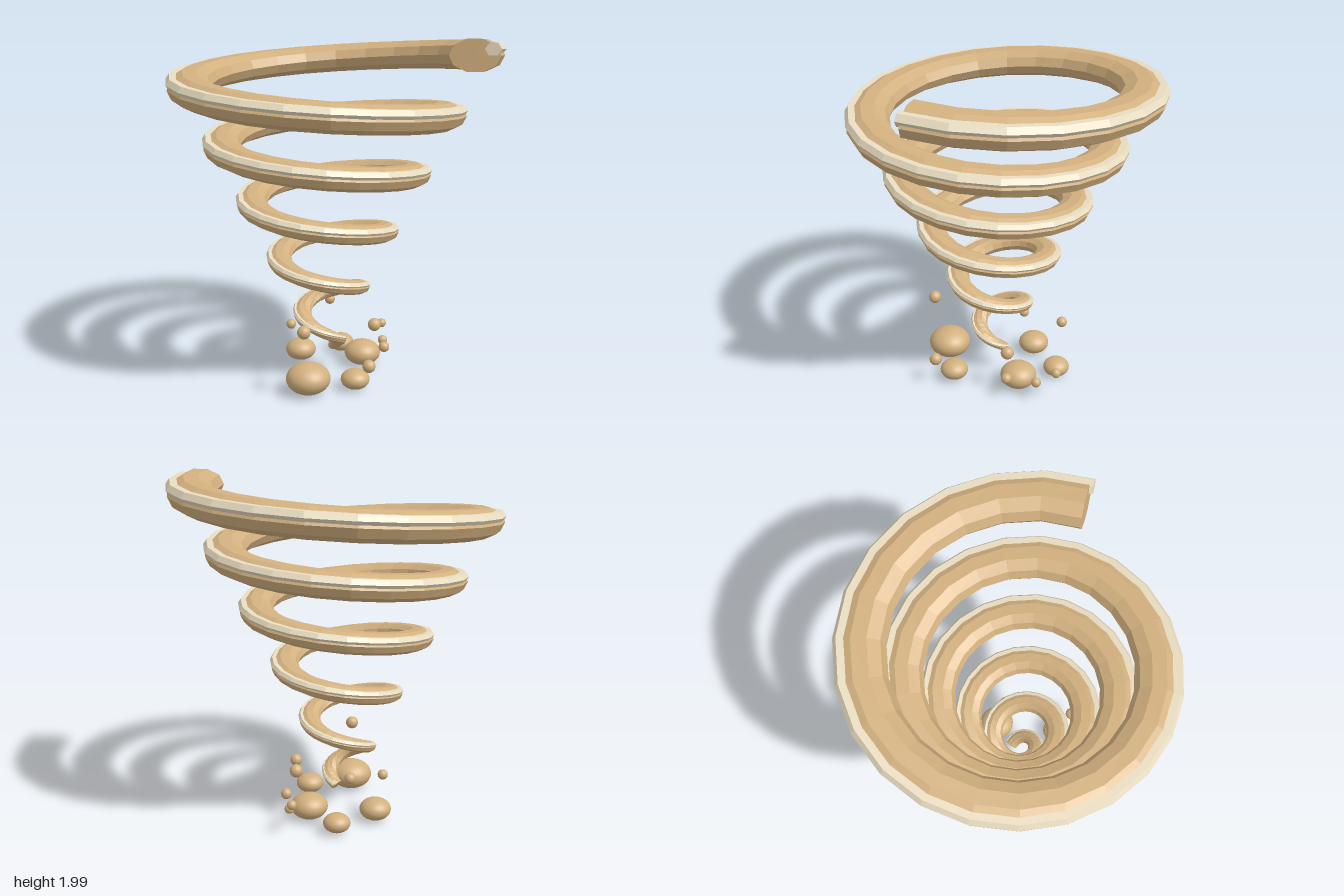
import * as THREE from 'three';

const TURNS = 5.2, STEPS = 120;
const UP = new THREE.Vector3(0, 1, 0);

// Half width and half height of the funnel coil after t turns
const halfWidth = t => 0.042 + 0.0182 * t;
const halfHeight = t => 0.028 + 0.012 * t;

// Point on the widening spiral, shifted outwards and upwards
function spiralPoint(t, out = 0, lift = 0) {
  const r = 0.07 + 0.79 * Math.pow(t / TURNS, 1.2) + out;
  const a = t * Math.PI * 2;
  return new THREE.Vector3(-0.05 + r * Math.cos(a), 0.165 + 0.3356 * t + lift, -0.022 + r * Math.sin(a));
}

// Sweeps a growing elliptical section along the spiral and caps both ends
function taperedCoil(sides, pathAt, sizeAt) {
  const path = [], pos = [], index = [];
  for (let i = 0; i <= STEPS; i++) path.push(pathAt(TURNS * i / STEPS));
  path.forEach((p, i) => {
    const tangent = path[Math.min(i + 1, STEPS)].clone().sub(path[Math.max(i - 1, 0)]).normalize();
    const side = new THREE.Vector3().crossVectors(UP, tangent).normalize();
    const up = new THREE.Vector3().crossVectors(tangent, side);
    const [w, h] = sizeAt(TURNS * i / STEPS);
    for (let j = 0; j < sides; j++) {
      const a = j / sides * Math.PI * 2;
      const v = p.clone().addScaledVector(side, w * Math.cos(a)).addScaledVector(up, h * Math.sin(a));
      pos.push(v.x, v.y, v.z);
    }
  });
  const first = pos.length / 3, last = first + 1, end = STEPS * sides;
  pos.push(...path[0].toArray(), ...path[STEPS].toArray());
  for (let j = 0; j < sides; j++) {
    const k = (j + 1) % sides;
    for (let i = 0; i < STEPS; i++) {
      const a = i * sides + j, b = i * sides + k;
      index.push(a, b, a + sides, b, b + sides, a + sides);
    }
    index.push(first, k, j, last, end + j, end + k);
  }
  const geo = new THREE.BufferGeometry();
  geo.setAttribute('position', new THREE.Float32BufferAttribute(pos, 3));
  geo.setIndex(index);
  const flat = geo.toNonIndexed();
  flat.computeVertexNormals();
  return flat;
}

export function createModel() {
  const group = new THREE.Group();
  const sand = new THREE.MeshStandardMaterial({ color: 0xd2b07f, flatShading: true });
  const cream = new THREE.MeshStandardMaterial({ color: 0xe8dcc0, flatShading: true });
  const dust = new THREE.MeshStandardMaterial({ color: 0xd2b07f });

  const add = (name, geo, mat) => {
    const mesh = new THREE.Mesh(geo, mat);
    mesh.name = name;
    group.add(mesh);
    return mesh;
  };

  // Main funnel coil
  add('funnelCoil', taperedCoil(10, t => spiralPoint(t), t => [halfWidth(t), halfHeight(t)]), sand);

  // Pale wind streak on the upper outer edge of the coil
  add('windStreak', taperedCoil(6,
    t => spiralPoint(t, 0.72 * halfWidth(t), 0.39 * halfHeight(t)),
    t => [0.33 * halfWidth(t), 0.42 * halfHeight(t)]), cream);

  // Flattened dust clouds on the ground: x, y, z, radius
  const clouds = [
    [-0.335, 0.095, 0.11, 0.127], [-0.115, 0.07, 0.27, 0.083], [0.015, 0.075, -0.285, 0.092],
    [0.21, 0.085, 0.045, 0.108], [0.29, 0.067, -0.2, 0.078],
  ];
  for (const [x, y, z, r] of clouds) {
    const cloud = add('dustCloud', new THREE.SphereGeometry(r, 24, 16), dust);
    cloud.position.set(x, y, z);
    cloud.scale.y = 0.7;
  }

  // Flying debris: x, y, z, radius
  const debris = [
    [-0.415, 0.4, 0.155, 0.038], [-0.14, 0.185, 0.393, 0.037], [0.21, 0.28, 0.138, 0.039],
    [0.262, 0.34, -0.27, 0.032], [0.248, 0.14, 0.183, 0.032], [0.378, 0.12, 0.065, 0.029],
    [0.462, 0.19, -0.013, 0.028], [-0.07, 0.258, -0.283, 0.03],
  ];
  for (const [x, y, z, r] of debris) {
    add('debris', new THREE.SphereGeometry(r, 16, 12), dust).position.set(x, y, z);
  }
  return group;
}
